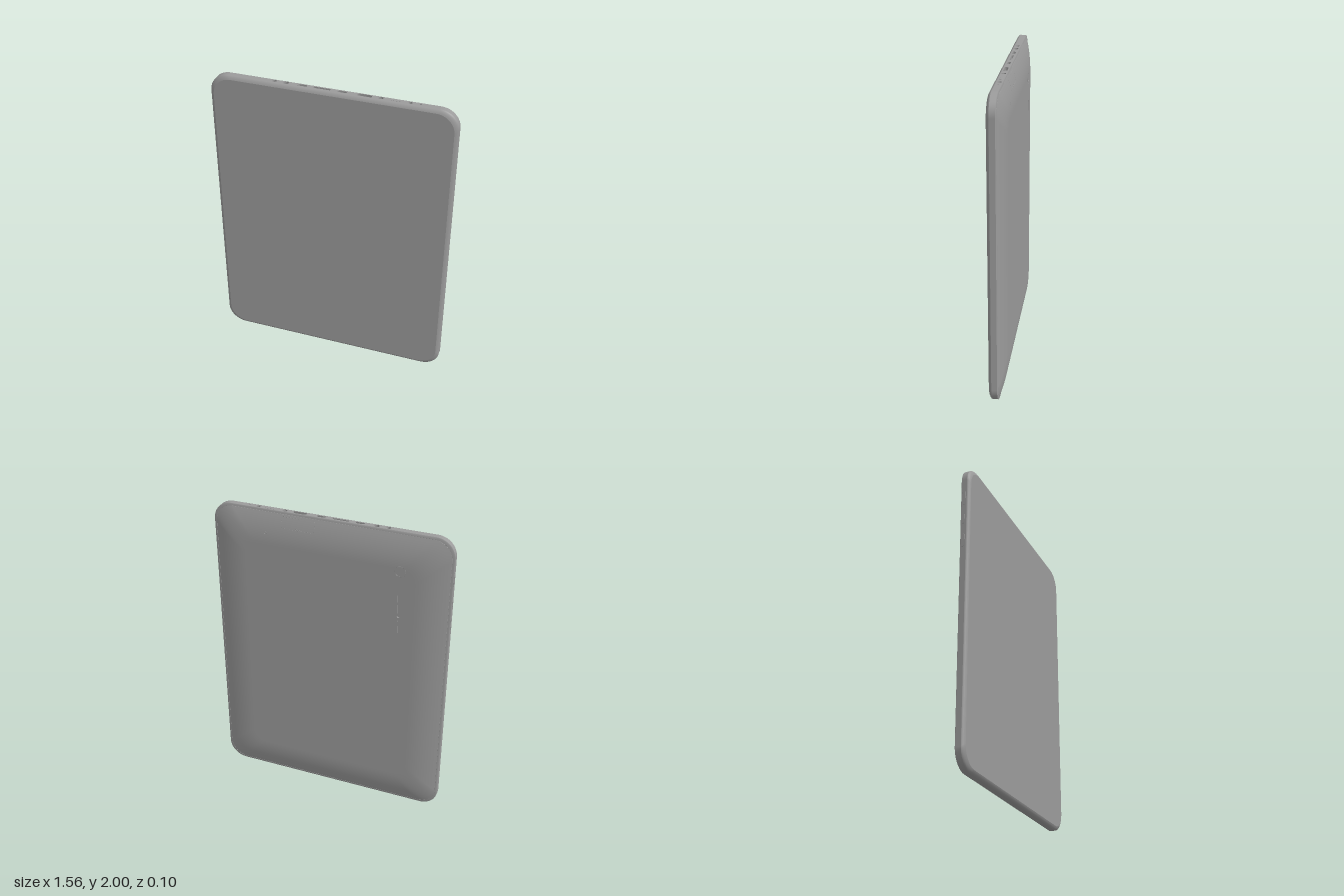
import * as THREE from 'three';

const W = 0.78, TOP = 1.999, CY = TOP / 2, R = 0.12, N = 12;
const SIDE_FRONT = 0.03, SIDE_BACK = -0.006, PORT_Z = 0.011, FRONT = 0.049, BACK = -0.049;
const DOME_START = 0.016, DOME_END = 0.22, DOME_Z = -0.011;
const grey = new THREE.MeshStandardMaterial({ color: 0x9b9b9b });
const greyDouble = new THREE.MeshStandardMaterial({ color: 0x9b9b9b, side: THREE.DoubleSide });

function mesh(name, geometry, material = grey) {
  const m = new THREE.Mesh(geometry, material);
  m.name = name;
  return m;
}

// Rounded rectangle path around (cx, cy)
function roundRect(Type, cx, cy, w, h, r) {
  const p = new Type(), x = w / 2 - r, y = h / 2 - r;
  p.absarc(cx + x, cy + y, r, 0, Math.PI / 2);
  p.absarc(cx - x, cy + y, r, Math.PI / 2, Math.PI);
  p.absarc(cx - x, cy - y, r, Math.PI, Math.PI * 1.5);
  p.absarc(cx + x, cy - y, r, Math.PI * 1.5, Math.PI * 2);
  p.closePath();
  return p;
}

// Port opening with two cut corners on the back side
function cutCorners(cx, cy, w, h) {
  const x = w / 2, y = h / 2, cut = h * 0.45;
  return new THREE.Path([[x, -y], [x, y - cut], [x - cut, y], [cut - x, y], [-x, y - cut], [-x, -y]]
    .map(([px, py]) => new THREE.Vector2(cx + px, cy + py))).closePath();
}

// Body outline at a given inset, counter-clockwise from the +x side
function outline(inset) {
  const r = R - inset * 0.15, pts = [];
  [[1, 1], [-1, 1], [-1, -1], [1, -1]].forEach(([sx, sy], k) => {
    for (let i = 0; i <= N; i++) {
      const a = (k + i / N) * Math.PI / 2;
      pts.push(new THREE.Vector2(
        sx * (W - inset - r) + r * Math.cos(a),
        CY + sy * (CY - inset - r) + r * Math.sin(a)));
    }
  });
  return pts;
}

// Skin over [inset, z] rings, front to back; openTop leaves out the straight top strip
function loft(rings, openTop = false) {
  const pos = [], idx = [], n = 4 * (N + 1);
  rings.forEach(([inset, z]) => outline(inset).forEach(p => pos.push(p.x, p.y, z)));
  for (let k = 0; k < rings.length - 1; k++) {
    for (let i = 0; i < n; i++) {
      if (openTop && i === N) continue;
      const j = (i + 1) % n, a = k * n, b = a + n;
      idx.push(a + i, b + i, b + j, a + i, b + j, a + j);
    }
  }
  const g = new THREE.BufferGeometry();
  g.setAttribute('position', new THREE.Float32BufferAttribute(pos, 3));
  g.setIndex(idx);
  g.computeVertexNormals();
  return g;
}

// Flat panel facing +z with real pockets sunk behind each hole
function pocketPanel(name, shape, holes, depth) {
  const group = new THREE.Group();
  group.name = name;
  shape.holes = holes.map(h => h.path);
  group.add(mesh(name + 'Face', new THREE.ShapeGeometry(shape, 10)));
  holes.forEach(({ name: label, path }) => {
    const pts = path.getPoints(10), pos = [], idx = [];
    pts.forEach(p => pos.push(p.x, p.y, 0, p.x, p.y, -depth));
    for (let i = 0; i < pts.length; i++) {
      const a = 2 * i, b = 2 * ((i + 1) % pts.length);
      idx.push(a, b, b + 1, a, b + 1, a + 1);
    }
    const wall = new THREE.BufferGeometry();
    wall.setAttribute('position', new THREE.Float32BufferAttribute(pos, 3));
    wall.setIndex(idx);
    wall.computeVertexNormals();
    const floor = new THREE.ShapeGeometry(new THREE.Shape(pts));
    floor.translate(0, 0, -depth);
    group.add(mesh(label + 'Wall', wall, greyDouble), mesh(label + 'Floor', floor));
  });
  return group;
}

// Depth of the domed back for an inset or a point
const domeAt = inset => {
  const t = THREE.MathUtils.clamp((inset - DOME_START) / (DOME_END - DOME_START), 0, 1);
  return DOME_Z + (BACK - DOME_Z) * (1 - (1 - t) ** 2);
};
const backZ = (x, y) => domeAt(Math.min(W - Math.abs(x), y, TOP - y));

// Thin closed seam lying on the back
function backSeam(name, path, radius) {
  const pts = path.getSpacedPoints(64).slice(0, -1)
    .map(p => new THREE.Vector3(p.x, p.y, backZ(p.x, p.y)));
  const curve = new THREE.CatmullRomCurve3(pts, true);
  return mesh(name, new THREE.TubeGeometry(curve, 128, radius, 6, true));
}

// Pill-shaped button with a small bevel, rising along +z
function button(name, w, h, rise) {
  const bevel = 0.001;
  const shape = roundRect(THREE.Shape, 0, 0, w - 2 * bevel, h - 2 * bevel, h / 2 - bevel - 0.0005);
  const g = new THREE.ExtrudeGeometry(shape, {
    depth: 0.006, bevelSize: bevel, bevelThickness: bevel, bevelSegments: 2, curveSegments: 6 });
  g.translate(0, 0, rise - 0.006 - bevel);
  return mesh(name, g);
}

export function createModel() {
  const tablet = new THREE.Group();
  tablet.name = 'tablet';

  // Front glass and the bevelled rim around it
  const glass = new THREE.ShapeGeometry(new THREE.Shape(outline(0.022)));
  glass.translate(0, 0, FRONT);
  tablet.add(mesh('frontGlass', glass));
  tablet.add(mesh('frontRim', loft([
    [0.022, FRONT], [0.014, 0.0455], [0.006, 0.0395], [0.0015, 0.034], [0, SIDE_FRONT]])));

  // Side band, open along the top where the port strip sits
  tablet.add(mesh('sideBand', loft([[0, SIDE_FRONT], [0, SIDE_BACK]], true)));

  // Rounded back edge and a fine seam before the cover
  tablet.add(mesh('backEdge', loft([[0, SIDE_BACK], [0.004, -0.009], [0.0145, DOME_Z]])));
  tablet.add(mesh('seamGroove', loft([[0.0145, DOME_Z], [0.0152, DOME_Z + 0.0015], [DOME_START, DOME_Z]])));

  // Domed back cover
  const domeRings = [];
  for (let i = 0; i <= 14; i++) {
    const inset = DOME_START + (DOME_END - DOME_START) * i / 14;
    domeRings.push([inset, domeAt(inset)]);
  }
  tablet.add(mesh('backDome', loft(domeRings)));

  // Flat back with speaker slot and narrow slot (mirrored in x, as it is turned round)
  const flat = new THREE.Shape(outline(DOME_END).map(p => new THREE.Vector2(-p.x, p.y)).reverse());
  const back = pocketPanel('backPanel', flat, [
    { name: 'speakerSlot', path: roundRect(THREE.Path, 0.465, 1.522, 0.02, 0.16, 0.0095) },
    { name: 'narrowSlot', path: roundRect(THREE.Path, 0.462, 1.375, 0.002, 0.1, 0.0008) },
  ], 0.008);
  back.rotation.y = Math.PI;
  back.position.z = BACK;
  tablet.add(back);

  // Port strip along the top edge: round or slotted openings [name, x, width, height, radius]
  const openings = [
    ['microphoneJack', -0.365, 0.026, 0.026, 0.0129],
    ['headphoneJack', -0.29, 0.032, 0.032, 0.0159],
    ['cardSlot', -0.062, 0.104, 0.014, 0.002],
    ['powerJack', 0.302, 0.028, 0.028, 0.0139],
    ['indicator', 0.48, 0.024, 0.024, 0.0119],
    ['resetHole', 0.54, 0.01, 0.01, 0.0049],
  ].map(([name, x, w, h, r]) => ({ name, path: roundRect(THREE.Path, x, -PORT_Z, w, h, r) }));
  const sockets = [
    ['smallPortA', -0.185, 0.056, 0.018],
    ['smallPortB', 0.065, 0.056, 0.018],
    ['videoPort', 0.203, 0.088, 0.024],
  ].map(([name, x, w, h]) => ({ name, path: cutCorners(x, -PORT_Z, w, h) }));
  const half = W - R;
  const strip = new THREE.Shape([[-half, -SIDE_FRONT], [half, -SIDE_FRONT], [half, -SIDE_BACK], [-half, -SIDE_BACK]]
    .map(([x, y]) => new THREE.Vector2(x, y)));
  const portStrip = pocketPanel('portStrip', strip, [...openings, ...sockets], 0.02);
  portStrip.rotation.x = -Math.PI / 2;
  portStrip.position.y = TOP;
  tablet.add(portStrip);

  // Contact pin in the power jack
  const pin = mesh('powerPin', new THREE.CylinderGeometry(0.004, 0.004, 0.018, 12));
  pin.position.set(0.302, TOP - 0.011, PORT_Z);
  tablet.add(pin);

  // Top button and side buttons
  const topButton = button('topButton', 0.07, 0.018, 0.0015);
  topButton.rotation.x = -Math.PI / 2;
  topButton.position.set(0.4, TOP, PORT_Z);
  tablet.add(topButton);
  [['powerButton', 1.745, 0.1], ['volumeUp', 1.595, 0.07], ['volumeDown', 1.44, 0.09]].forEach(([name, y, length]) => {
    const holder = new THREE.Group();
    holder.name = name;
    const cap = button(name + 'Cap', length, 0.018, 0.002);
    cap.rotation.z = Math.PI / 2;
    holder.add(cap);
    holder.rotation.y = -Math.PI / 2;
    holder.position.set(-W, y, PORT_Z);
    tablet.add(holder);
  });

  // Rear camera and small microphone rings
  [['rearCamera', -0.465, 1.757, 0.034], ['rearMicrophone', 0.415, 1.855, 0.008]].forEach(([name, x, y, r]) => {
    tablet.add(backSeam(name, new THREE.Path().absarc(x, y, r, 0, Math.PI * 2), 0.001));
  });

  // Card door outline and finger notch near the top of the back
  tablet.add(backSeam('cardDoor', roundRect(THREE.Path, 0.202, 1.935, 0.215, 0.07, 0.004), 0.0007));
  tablet.add(backSeam('doorNotch', roundRect(THREE.Path, 0.202, 1.904, 0.05, 0.005, 0.002), 0.0008));

  return tablet;
}
